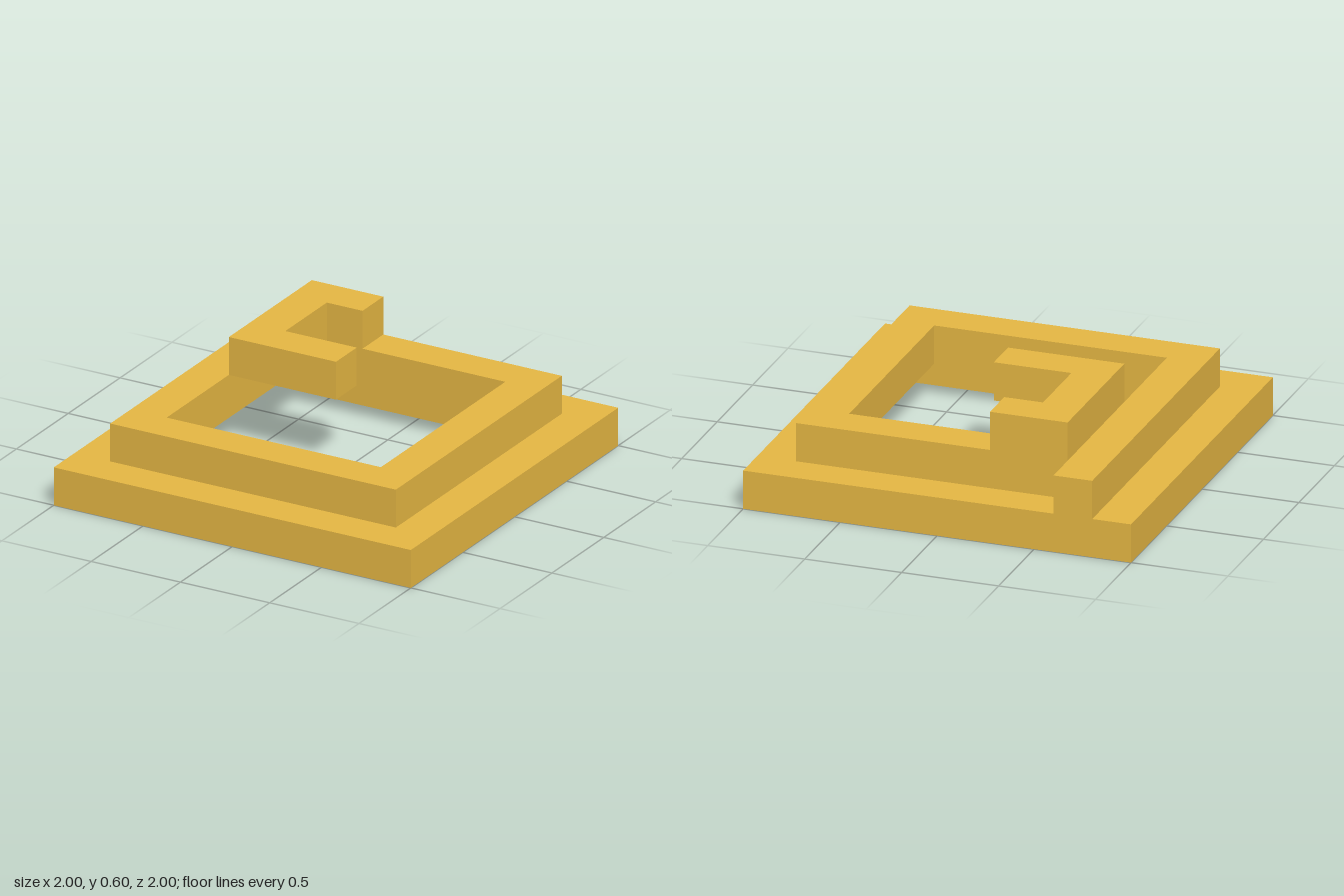
import * as THREE from 'three';

const TIER = 0.2; // height of each layer

const square = (r) => [[-r, -r], [r, -r], [r, r], [-r, r]];
// plan points are [x, z]; the shape plane's y becomes -z when laid flat,
// and the order is reversed to stay counter-clockwise so hole walls face inwards
const toVectors = (plan) => plan.map(([x, z]) => new THREE.Vector2(x, -z)).reverse();

// Flat slab from a plan outline with an optional hole, standing at a given level
function slab(name, level, material, outline, hole) {
  const shape = new THREE.Shape(toVectors(outline));
  if (hole) shape.holes.push(new THREE.Path(toVectors(hole)));
  const geometry = new THREE.ExtrudeGeometry(shape, { depth: TIER, bevelEnabled: false });
  geometry.rotateX(-Math.PI / 2);
  const mesh = new THREE.Mesh(geometry, material);
  mesh.name = name;
  mesh.position.y = level * TIER;
  return mesh;
}

export function createModel() {
  const ochre = new THREE.MeshStandardMaterial({ color: 0xe6b743 });
  ochre.name = 'ochre';

  const model = new THREE.Group();
  model.name = 'steppedSpiral';

  // Square frame on the ground
  model.add(slab('baseFrame', 0, ochre, square(1), square(0.8)));

  // Smaller frame with a stub running out to the back edge
  const middle = [
    [-0.8, -1], [-0.6, -1], [-0.6, -0.8], [0.8, -0.8], [0.8, 0.8], [-0.8, 0.8],
  ];
  model.add(slab('middleFrame', 1, ochre, middle, square(0.6)));

  // Top hook: short back arm, side bar and longer front arm
  const hook = [
    [-0.6, -0.8], [-0.2, -0.8], [-0.2, -0.6], [-0.4, -0.6],
    [-0.4, -0.2], [0, -0.2], [0, 0], [-0.6, 0],
  ];
  model.add(slab('topHook', 2, ochre, hook));

  return model;
}
